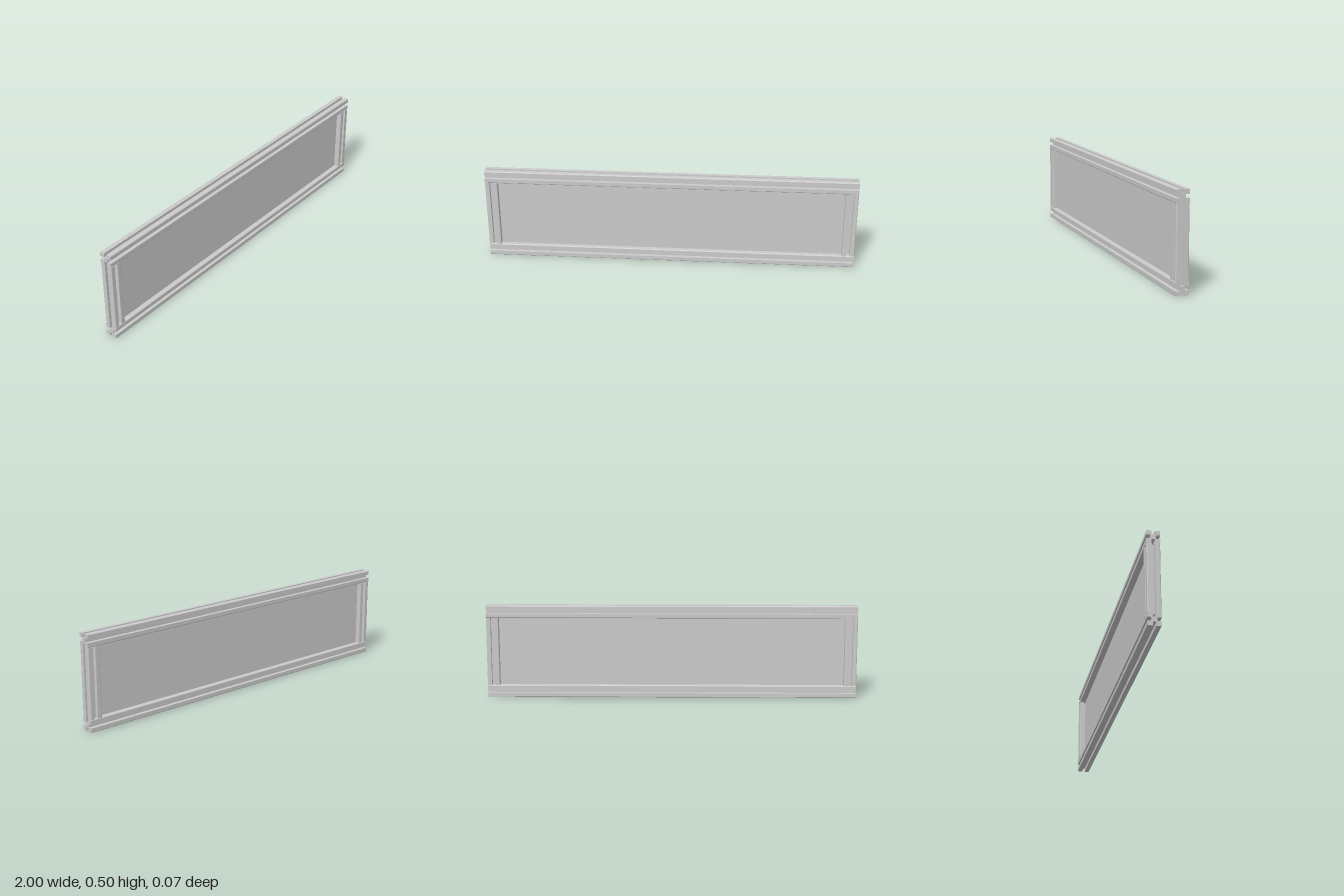
import * as THREE from 'three';

const HALF = 0.0335;              // half width of the slotted profile
const HEIGHT = 0.502;
const SLOT_Y = 0.0093, SLOT_Z = 0.0077;   // half openings of the slots
const CORE_Y = 0.0125, CORE_Z = 0.0137;   // half size of the solid core

// Slotted square cross-section: one quadrant mirrored into four
function profileShape() {
  const r = 0.005;
  const quadrant = [[CORE_Z, SLOT_Y], [HALF, SLOT_Y]];
  for (let i = 0; i <= 4; i++) {
    const a = (i / 4) * Math.PI / 2;
    quadrant.push([HALF - r + r * Math.cos(a), HALF - r + r * Math.sin(a)]);
  }
  quadrant.push([SLOT_Z, HALF], [SLOT_Z, CORE_Y]);
  const points = [];
  for (const [sx, sy] of [[1, 1], [-1, 1], [-1, -1], [1, -1]]) {
    const part = quadrant.map(([x, y]) => new THREE.Vector2(x * sx, y * sy));
    points.push(...(sx * sy > 0 ? part : part.reverse()));
  }
  return new THREE.Shape(points);
}

// Profile bar of given length, running along x and centred
function barGeometry(length) {
  const geometry = new THREE.ExtrudeGeometry(profileShape(), { depth: length, bevelEnabled: false });
  geometry.translate(0, 0, -length / 2);
  return geometry.rotateY(Math.PI / 2);
}

export function createModel() {
  const group = new THREE.Group();
  const material = new THREE.MeshStandardMaterial({ color: 0xcccccc });
  const add = (name, geometry, x, y) => {
    const mesh = new THREE.Mesh(geometry, material);
    mesh.name = name;
    mesh.position.set(x, y, 0);
    group.add(mesh);
  };
  const innerHeight = HEIGHT - 4 * HALF;

  // Full-length rails
  const rail = barGeometry(2);
  add('bottomRail', rail, 0, HALF);
  add('topRail', rail, 0, HEIGHT - HALF);

  // Upright posts between the rails
  const post = barGeometry(innerHeight).rotateZ(Math.PI / 2);
  add('leftPost', post, 1 - HALF, HEIGHT / 2);
  add('rightPost', post, HALF - 1, HEIGHT / 2);

  // Thin infill panel
  add('panel', new THREE.BoxGeometry(2 - 4 * HALF, innerHeight, 0.006), 0, HEIGHT / 2);

  return group;
}
